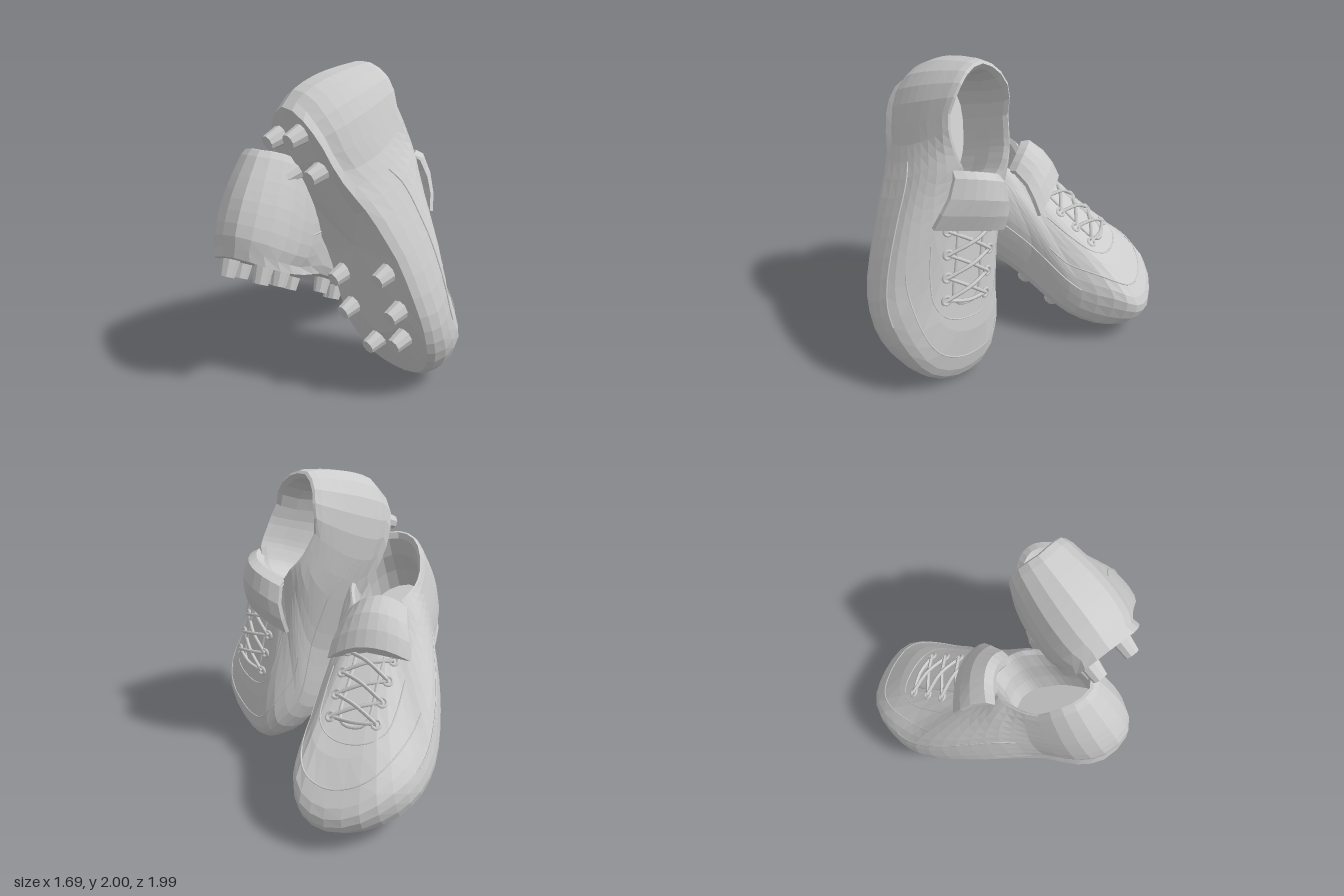
import * as THREE from 'three';

const V = (x, y, z) => new THREE.Vector3(x, y, z);
const smooth = THREE.MathUtils.smoothstep;
const facet = new THREE.MeshStandardMaterial({ color: 0xcccccc, flatShading: true });
const soft = new THREE.MeshStandardMaterial({ color: 0xcccccc });
const N = 42;

// Left shoe in its own frame: toe +z, up +y, outer side +x.
// Plan outline and the matching ankle opening, starting at the toe, each point [x, z]
const OUTLINE = [[.05, 1.01], [.22, .95], [.32, .8], [.37, .6], [.36, .4], [.335, .15], [.345, -.1],
  [.36, -.4], [.345, -.7], [.25, -.93], [.07, -1.03], [-.12, -.93], [-.205, -.75], [-.23, -.5], [-.3, -.3],
  [-.37, -.08], [-.43, .17], [-.455, .43], [-.42, .63], [-.33, .8], [-.16, .95]];
const OPENING = [[.05, -.2], [.1, -.2], [.14, -.22], [.18, -.25], [.21, -.29], [.24, -.36], [.27, -.44],
  [.285, -.55], [.28, -.74], [.2, -.89], [.07, -.955], [-.06, -.89], [-.14, -.75], [-.165, -.57], [-.15, -.46],
  [-.13, -.38], [-.1, -.32], [-.07, -.27], [-.04, -.24], [-.01, -.22], [.02, -.2]];
// Wall profile, sole edge to opening: [inset, height] for toe, side and heel
const WALL = [
  [.02, .12, .02, .1, .5, .08], [0, .4, 0, .25, .12, .18], [0, .68, .02, .4, 0, .3],
  [.02, .87, .06, .53, 0, .42], [.06, .95, .14, .62, .06, .53], [.14, .98, .26, .7, .18, .63],
  [.28, .99, .42, .78, .35, .74], [.5, 1, .6, .86, .55, .84], [.75, 1, .8, .93, .75, .94], [1, 1, 1, 1, 1, 1]];
// Side profiles as [z, y]
const CROWN = [[-1.02, .68], [-.92, .705], [-.8, .7], [-.65, .635], [-.5, .64], [-.35, .66], [-.2, .62],
  [0, .57], [.2, .515], [.4, .46], [.59, .42], [.77, .365], [.95, .28], [1.02, .23]];
const SOLE = [[-1.02, .05], [-.85, .02], [-.6, .02], [-.25, .06], [.05, .05], [.35, .005], [.6, -.01], [.8, 0], [1.02, .06]];

function heightAt(table, z) {
  let i = 0;
  while (i < table.length - 2 && z > table[i + 1][0]) i++;
  const [a, b] = [table[i], table[i + 1]];
  return a[1] + (b[1] - a[1]) * THREE.MathUtils.clamp((z - a[0]) / (b[0] - a[0]), 0, 1);
}

// Skin a stack of closed rings
function loft(rings) {
  const n = rings[0].length, pos = [], idx = [];
  rings.forEach(r => r.forEach(p => pos.push(p.x, p.y, p.z)));
  for (let i = 0; i < rings.length - 1; i++) for (let j = 0; j < n; j++) {
    const k = (j + 1) % n, a = i * n + j, b = i * n + k;
    idx.push(a, b, b + n, a, b + n, a + n);
  }
  const g = new THREE.BufferGeometry();
  g.setAttribute('position', new THREE.Float32BufferAttribute(pos, 3));
  g.setIndex(idx);
  g.computeVertexNormals();
  return g;
}

const loop = pts => {
  const c = new THREE.CatmullRomCurve3(pts.map(p => V(p[0], 0, p[1])), true);
  return Array.from({ length: N }, (_, i) => c.getPoint(i / N));
};

function bodyRings() {
  const out = loop(OUTLINE), open = loop(OPENING), mid = V(0, 0, -.02), heart = V(.06, 0, -.56);
  const solePart = s => out.map(p => {
    const q = mid.clone().lerp(p, s);
    return q.setY(heightAt(SOLE, q.z));
  });
  const walls = WALL.map(w => out.map((p, i) => {
    const toe = smooth(p.z, .55, .95), heel = 1 - smooth(p.z, -.6, -.2), side = 1 - toe - heel;
    const q = p.clone().lerp(open[i], toe * w[0] + side * w[2] + heel * w[4]);
    const base = heightAt(SOLE, q.z), g = toe * w[1] + side * w[3] + heel * w[5];
    return q.setY(base + g * (heightAt(CROWN, q.z) - base));
  }));
  // Padded collar rolling into the lining, then the insole
  const lining = (s, f) => open.map(p => heart.clone().lerp(p, s).setY(f * heightAt(CROWN, p.z)));
  const inside = [lining(.95, 1.01), lining(.89, .96), lining(.88, .75), lining(.96, .5)];
  const floor = s => open.map(p => heart.clone().lerp(p, s).setY(.18));
  return { walls, all: [solePart(.001), solePart(.6), solePart(.94), ...walls, ...inside, floor(.98), floor(.6), floor(.001)] };
}

// Folded tongue flap: a thin curved slab following a side path
function flapGeometry() {
  const path = [[-.2, .58, .14], [-.28, .69, .15], [-.295, .745, .17], [-.26, .775, .185], [-.15, .755, .215], [-.06, .705, .245], [.025, .635, .262]];
  const rings = path.map(([z, y, half], i) => {
    const a = path[Math.max(i - 1, 0)], b = path[Math.min(i + 1, path.length - 1)];
    const d = new THREE.Vector2(b[0] - a[0], b[1] - a[1]).normalize();
    const row = t => [1, .75, .5, .25, 0, -.25, -.5, -.75, -1].map(u =>
      V(.02 + u * half, y - .12 * u * u + t * d.x, z + .03 * u - t * d.y));
    return [...row(.013), ...row(-.013).reverse()];
  });
  const cap = r => {
    const c = r.reduce((s, p) => s.add(p), V(0, 0, 0)).divideScalar(r.length);
    return r.map(() => c.clone());
  };
  return loft([cap(rings[0]), ...rings, cap(rings[rings.length - 1])]);
}

function makeShoe(mirrored) {
  const shoe = new THREE.Group();
  const add = (name, geometry, material = soft) => {
    const m = new THREE.Mesh(geometry, material);
    m.name = name;
    shoe.add(m);
    return m;
  };
  const tube = (name, pts, r, seg = 24) =>
    add(name, new THREE.TubeGeometry(new THREE.CatmullRomCurve3(pts), seg, r, 6));

  const { walls, all } = bodyRings();
  const body = add('shoeBody', loft(all), facet);
  const ray = new THREE.Raycaster();
  const onTop = (x, z, lift = 0) => {
    ray.set(V(x, 2, z), V(0, -1, 0));
    const hit = ray.intersectObject(body)[0];
    return V(x, (hit ? hit.point.y : heightAt(CROWN, z)) + lift, z);
  };

  // Stitched seams around the toe cap, along both sides and around the laces
  const arc = (row, from, to) => Array.from({ length: to - from + 1 }, (_, i) => walls[row][(from + i + N) % N].clone());
  tube('toeCapSeam', arc(5, -8, 8), .005, 60);
  tube('outerSideSeam', arc(3, 6, 15), .005, 40);
  tube('innerSideSeam', arc(3, 27, 36), .005, 40);
  const u = [[-.23, .1], [-.23, .3], [-.21, .46], [-.13, .55], [0, .58], [.13, .55], [.21, .46], [.23, .3], [.23, .1]];
  tube('lacePanelSeam', u.map(p => onTop(p[0], p[1])), .005, 40);
  const t = [[-.09, .02], [-.09, .2], [-.09, .42], [-.05, .47], [.05, .47], [.09, .42], [.09, .2], [.09, .02]];
  tube('tongueEdge', t.map(p => onTop(p[0], p[1])), .012, 40);

  add('tongueFlap', flapGeometry(), facet);

  // Eyelets and crossed laces
  const rows = [.02, .16, .3, .44];
  rows.forEach((z, i) => {
    for (const s of [-1, 1]) {
      const p = onTop(s * .145, z, .008);
      const g = new THREE.TorusGeometry(.027, .01, 6, 12);
      g.rotateX(-Math.PI / 2 + .3).rotateZ(-s * .25).translate(p.x, p.y, p.z);
      add('eyelet', g);
      if (i < 3) {
        const q = onTop(-s * .145, rows[i + 1], .015);
        const m = onTop(0, (z + rows[i + 1]) / 2, .035 + s * .01);
        tube('lace', [p, m, q], .012, 16);
      }
    }
  });
  tube('lowerLace', [onTop(-.145, .44, .01), onTop(0, .46, .025), onTop(.145, .44, .01)], .012, 16);

  // Tapered studs under heel and forefoot
  const studs = [[-.04, -.8], [.19, -.8], [-.07, -.56], [.2, -.56], [-.26, .13], [.2, .18],
    [-.27, .37], [.22, .42], [-.2, .58], [.1, .66]];
  for (const [x, z] of studs) {
    const g = new THREE.CylinderGeometry(.065, .048, .14, 9);
    g.translate(x, heightAt(SOLE, z) - .03, z);
    add('stud', g, facet);
  }

  // The right shoe is the left one reflected, with its faces turned back outwards
  if (mirrored) for (const { geometry } of shoe.children) {
    geometry.scale(-1, 1, 1);
    const id = geometry.index.array;
    for (let i = 0; i < id.length; i += 3) [id[i], id[i + 1]] = [id[i + 1], id[i]];
    geometry.computeVertexNormals();
  }
  return shoe;
}

// Aim the toe along f, with up as near as possible to the given direction
function pose(shoe, f, up, at) {
  const z = f.normalize(), x = up.clone().cross(z).normalize(), y = z.clone().cross(x);
  shoe.quaternion.setFromRotationMatrix(new THREE.Matrix4().makeBasis(x, y, z));
  shoe.position.copy(at);
  return shoe;
}

export function createModel() {
  const model = new THREE.Group();
  const left = pose(makeShoe(false), V(.345, -.917, .206), V(.935, .352, 0), V(-.196, .895, .444));
  left.name = 'leftShoe';
  const right = pose(makeShoe(true), V(.8, -.425, -.425), V(.395, .905, -.15), V(-.09, .48, -.33));
  right.name = 'rightShoe';
  model.add(left, right);
  return model;
}
